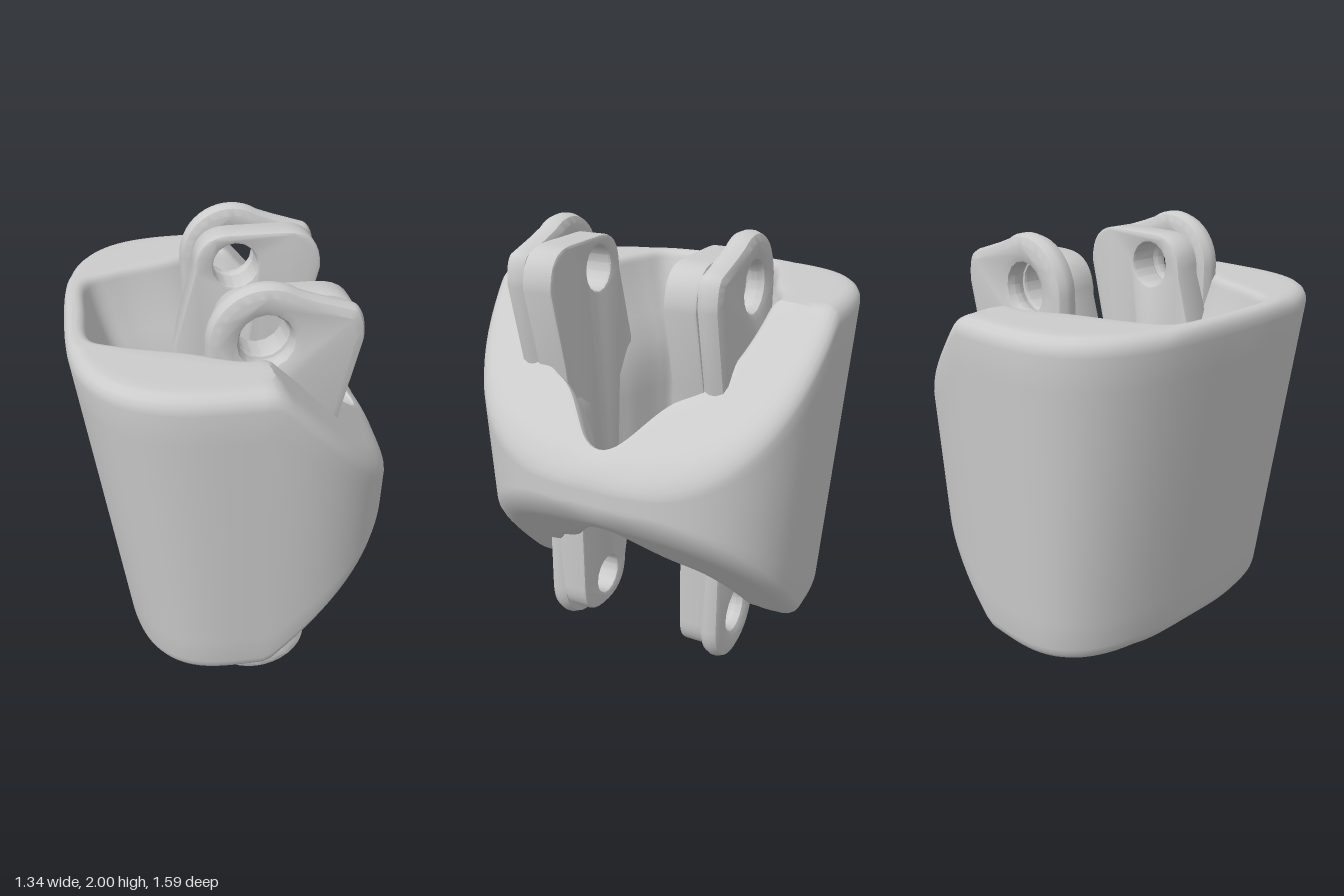
import * as THREE from 'three';
import { toCreasedNormals } from 'three/addons/utils/BufferGeometryUtils.js';

const mat = new THREE.MeshStandardMaterial({ color: 0xcccccc });
const { lerp, smoothstep } = THREE.MathUtils;

// Height of the shell's upper and lower faces: flat, then sloping to the nose
const topAt = x => Math.min(1.735, 1.735 - 1.07 * (x - 0.08));
const bottomAt = x => Math.max(0.28, 0.28 + 1.05 * (x - 0.08));

// Radius of the rounded-square outer contour along an angle
function outerRadius(a) {
  const c = Math.abs(Math.cos(a)), s = Math.abs(Math.sin(a));
  const n = Math.cos(a) < 0 ? 3.1 : 2.7;
  return Math.pow(Math.pow(c / 0.675, n) + Math.pow(s / 0.8, n), -1 / n);
}

// Rounded rectangle in wall space: u runs outer to inner, v bottom to top
function wallSection(thick, height) {
  const pts = [];
  const corner = (u, v, r, from) => {
    const ru = Math.min(r / thick, 0.45), rv = Math.min(r / height, 0.3);
    const cu = u ? 1 - ru : ru, cv = v ? 1 - rv : rv;
    for (let k = 0; k <= 4; k++) {
      const a = from - (k / 4) * Math.PI / 2;
      pts.push([cu + ru * Math.cos(a), cv + rv * Math.sin(a)]);
    }
  };
  const span = steps => {
    // mark a straight run to be filled once both ends are known
    pts.push(steps);
  };
  span(10);
  corner(0, 1, 0.07, Math.PI);
  span(5);
  corner(1, 1, 0.035, Math.PI / 2);
  span(12);
  corner(1, 0, 0.035, 0);
  span(5);
  corner(0, 0, 0.07, -Math.PI / 2);
  const out = [];
  pts.forEach((p, i) => {
    if (Array.isArray(p)) return out.push(p);
    const a = pts[(i + pts.length - 1) % pts.length], b = pts[i + 1];
    for (let k = 1; k < p; k++) out.push([lerp(a[0], b[0], k / p), lerp(a[1], b[1], k / p)]);
  });
  return out;
}

function shellGeometry() {
  // Half of the opening's rim, mirrored front to back
  const half = [[0.57, 0], [0.55, 0.07], [0.41, 0.23], [0.34, 0.38], [0.2, 0.48], [0, 0.52],
    [-0.2, 0.43], [-0.45, 0.34], [-0.56, 0.27], [-0.58, 0]];
  const rim = half.concat(half.slice(1, -1).reverse().map(([x, z]) => [x, -z]));
  const curve = new THREE.CatmullRomCurve3(rim.map(([x, z]) => new THREE.Vector3(x, 0, z)), true);
  const N = 144, path = curve.getSpacedPoints(N).slice(0, N);
  const pos = [], index = [];
  let M = 0;
  for (const p of path) {
    const a = Math.atan2(p.z, p.x), r = outerRadius(a);
    const ox = r * Math.cos(a), oz = r * Math.sin(a);
    const section = wallSection(Math.hypot(ox - p.x, oz - p.z), topAt(ox) - bottomAt(ox));
    M = section.length;
    for (const [u, v] of section) {
      // the cavity narrows away from its rims
      const w = smoothstep(Math.min(v, 1 - v), 0, 0.35);
      const ix = p.x < 0 ? p.x * (1 - 0.17 * w) : p.x, iz = p.z * (1 - 0.4 * w);
      let x = lerp(ox, ix, u), z = lerp(oz, iz, u);
      const y = lerp(bottomAt(x), topAt(x), v), drop = 1.735 - y;
      if (x < 0) x *= 1 - 0.195 * drop;
      z *= 1 - 0.075 * drop;
      pos.push(x, y, z);
    }
  }
  for (let i = 0; i < N; i++) for (let j = 0; j < M; j++) {
    const i2 = (i + 1) % N, j2 = (j + 1) % M;
    const a = i * M + j, b = i * M + j2, c = i2 * M + j, d = i2 * M + j2;
    index.push(a, b, c, b, d, c);
  }
  const g = new THREE.BufferGeometry();
  g.setAttribute('position', new THREE.Float32BufferAttribute(pos, 3));
  g.setIndex(index);
  return toCreasedNormals(g, 0.6);
}

// Extruded outline with chamfered edges, centred on z
function slab(name, shape, zMin, zMax, bevel) {
  const depth = zMax - zMin - 2 * bevel;
  const g = new THREE.ExtrudeGeometry(shape, { depth, bevelEnabled: true, bevelThickness: bevel,
    bevelSize: bevel, bevelOffset: -bevel, bevelSegments: 2, curveSegments: 8 });
  g.translate(0, 0, zMin + bevel);
  const m = new THREE.Mesh(toCreasedNormals(g, 0.5), mat);
  m.name = name;
  return m;
}

function drill(shape, y, r) {
  shape.holes.push(new THREE.Path().absarc(0.08, y, r, 0, Math.PI * 2, true));
  return shape;
}

// Long inner plate with an eye at each end
function plateShape() {
  const s = new THREE.Shape();
  s.moveTo(-0.1, 0.25);
  s.quadraticCurveTo(-0.09, 0.08, 0.08, 0.08);
  s.quadraticCurveTo(0.3, 0.08, 0.3, 0.25);
  s.lineTo(0.3, 0.6);
  s.lineTo(0.33, 1.1);
  s.lineTo(0.38, 1.42);
  s.lineTo(0.46, 1.75);
  s.quadraticCurveTo(0.46, 1.92, 0.3, 1.92);
  s.lineTo(0.06, 1.92);
  s.quadraticCurveTo(-0.1, 1.92, -0.1, 1.75);
  s.lineTo(-0.2, 1.4);
  s.lineTo(-0.2, 0.6);
  s.closePath();
  return drill(drill(s, 1.78, 0.1), 0.23, 0.095);
}

// Outer lug at the upper eye, with a shoulder on one side
function upperLugShape() {
  const s = new THREE.Shape();
  s.moveTo(-0.14, 1.3);
  s.lineTo(0.36, 1.3);
  s.lineTo(0.39, 1.45);
  s.lineTo(0.46, 1.76);
  s.quadraticCurveTo(0.46, 1.89, 0.4, 1.9);
  s.lineTo(0.27, 1.94);
  s.absarc(0.08, 1.775, 0.225, 1.0, Math.PI, false);
  s.closePath();
  return drill(s, 1.78, 0.1);
}

// Outer lug at the lower eye
function lowerLugShape() {
  const s = new THREE.Shape();
  s.moveTo(0.3, 0.7);
  s.lineTo(-0.14, 0.7);
  s.absarc(0.08, 0.23, 0.23, Math.PI, Math.PI * 2, false);
  s.closePath();
  return drill(s, 0.23, 0.095);
}

function arm(name, side, inner) {
  const g = new THREE.Group();
  g.name = name;
  const add = (part, shape, a, b, bevel) =>
    g.add(slab(part, shape, Math.min(a * side, b * side), Math.max(a * side, b * side), bevel));
  add('innerPlate', plateShape(), inner, inner + 0.14, 0.012);
  add('upperLug', upperLugShape(), inner + 0.125, inner + 0.23, 0.04);
  add('lowerLug', lowerLugShape(), inner + 0.1, inner + 0.195, 0.04);
  return g;
}

export function createModel() {
  const group = new THREE.Group();
  const shell = new THREE.Mesh(shellGeometry(), mat);
  shell.name = 'shell';
  group.add(shell, arm('frontArm', 1, 0.278), arm('backArm', -1, 0.222));
  // Raised pad on the inside of the back arm
  const pad = new THREE.Mesh(new THREE.BoxGeometry(0.53, 0.6, 0.08), mat);
  pad.position.set(0.04, 0.9, -0.22);
  pad.name = 'innerPad';
  group.add(pad);
  return group;
}
